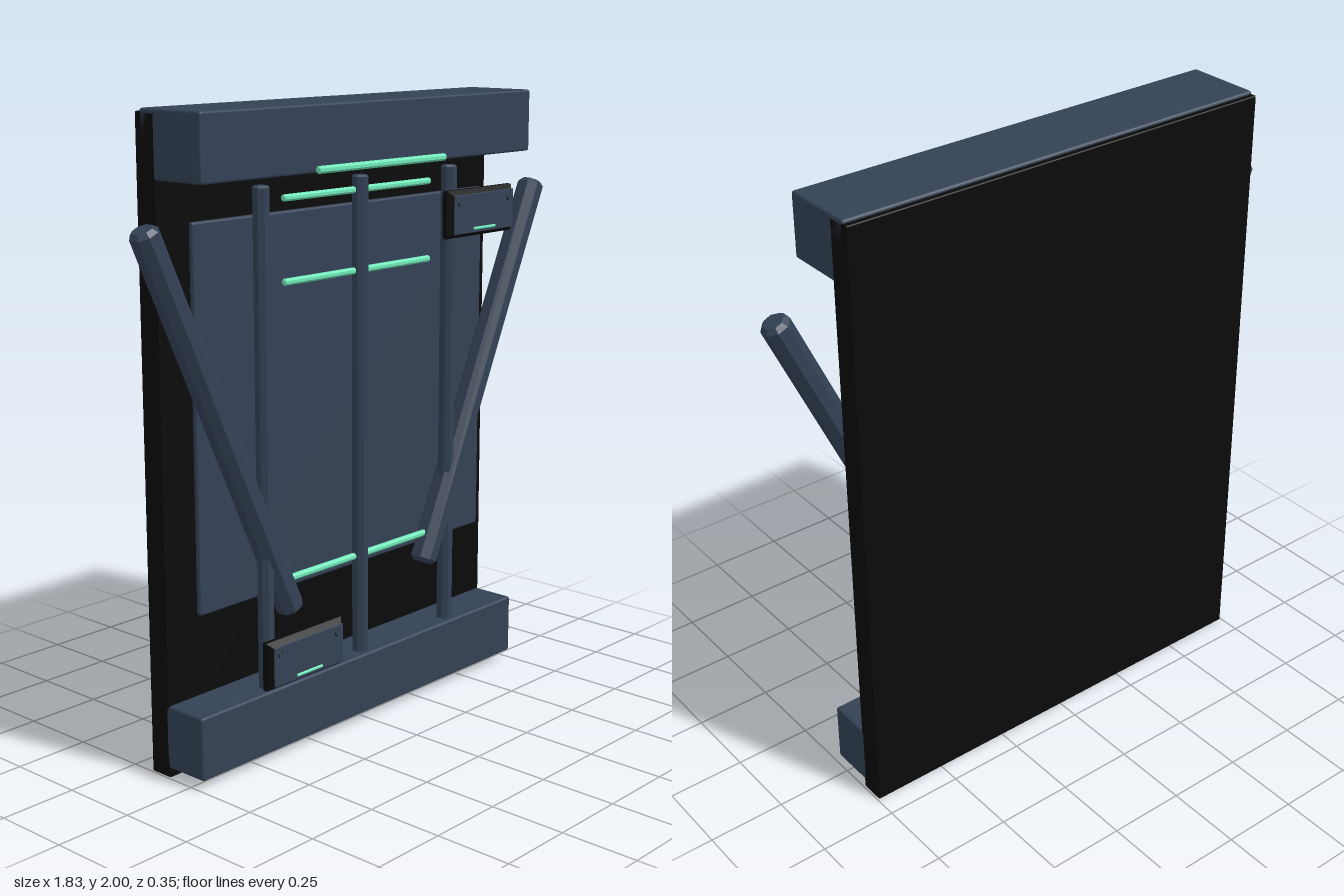
import * as THREE from 'three';
import { RoundedBoxGeometry } from 'three/addons/geometries/RoundedBoxGeometry.js';

export function createModel() {
  const model = new THREE.Group();
  model.name = 'framedGate';
  const mat = (name, color, flatShading = false) => {
    const m = new THREE.MeshStandardMaterial({ color, flatShading });
    m.name = name;
    return m;
  };
  const slate = mat('slateMetal', 0x334155);
  const black = mat('blackBacking', 0x0a0a0a);
  const mint = mat('mintLight', 0x6ee7b7);

  const add = (parent, name, geometry, material, x, y, z) => {
    const mesh = new THREE.Mesh(geometry, material);
    mesh.name = name;
    mesh.position.set(x, y, z);
    parent.add(mesh);
    return mesh;
  };
  // Box given by its limits, with softened edges
  const block = (name, material, w, y0, y1, z0, z1, r = 0.008) =>
    add(model, name, new RoundedBoxGeometry(w, y1 - y0, z1 - z0, 2, r), material,
      0, (y0 + y1) / 2, (z0 + z1) / 2);
  // Upright bar with bevelled ends, as a lathe
  const bar = (r, length, bevel, sides) => {
    const h = length / 2;
    const profile = [[0, -h], [r - bevel, -h], [r, -h + bevel], [r, h - bevel], [r - bevel, h], [0, h]];
    const g = new THREE.LatheGeometry(profile.map(p => new THREE.Vector2(...p)), sides);
    g.rotateY(Math.PI / sides);
    const flat = g.toNonIndexed();
    flat.computeVertexNormals();
    return flat;
  };
  // Horizontal glowing bar
  const lightBar = (parent, name, x0, x1, y, z, r) => {
    const m = add(parent, name, bar(r, x1 - x0, r * 0.3, 8), mint, (x0 + x1) / 2, y, z);
    m.rotation.z = Math.PI / 2;
  };

  // Backing, raised panel and the two cross beams
  block('backing', black, 1.49, 0, 1.99, -0.175, -0.095, 0.004);
  block('panel', slate, 1.32, 0.505, 1.68, -0.058, -0.038);
  block('topBeam', slate, 1.49, 1.8, 2, -0.157, 0.092);
  block('bottomBeam', slate, 1.49, 0.03, 0.23, -0.11, 0.05);

  // Three upright rods
  for (const x of [-0.43, 0, 0.43])
    add(model, 'uprightRod', bar(0.027, 1.57, 0.006, 8), slate, x, 0.985, 0.006);

  // Mirrored leaning struts
  for (const s of [-1, 1]) {
    const top = new THREE.Vector2(0.883, 1.685), low = new THREE.Vector2(0.317, 0.45);
    const strut = add(model, s < 0 ? 'rightStrut' : 'leftStrut',
      bar(0.045, top.distanceTo(low), 0.014, 8), slate,
      s * (top.x + low.x) / 2, (top.y + low.y) / 2, 0.002);
    strut.rotation.z = -s * Math.atan2(top.x - low.x, top.y - low.y);
  }

  // Light bars between the rods and under the top beam
  for (const y of [1.725, 1.475, 0.552])
    for (const s of [-1, 1])
      lightBar(model, 'crossLight', s < 0 ? -0.335 : 0.012, s < 0 ? -0.012 : 0.335, y, 0.002, 0.011);
  lightBar(model, 'beamLight', -0.29, 0.29, 1.81, 0.102, 0.012);

  // Chamfered tags hanging in front of the rods
  for (const [x, y] of [[-0.41, 0.367], [0.41, 1.633]]) {
    const tag = new THREE.Group();
    tag.name = 'tag';
    tag.position.set(x, y, 0);
    model.add(tag);
    const w = 0.145, h = 0.057;
    const shape = new THREE.Shape([[-w, -h], [w, -h], [w, h], [-w, h]].map(p => new THREE.Vector2(...p)));
    const body = new THREE.ExtrudeGeometry(shape, {
      depth: 0.014, bevelEnabled: true, bevelThickness: 0.018, bevelSize: 0.018, bevelSegments: 1,
    });
    add(tag, 'tagBody', body, black, 0, 0, 0.134);
    add(tag, 'tagFace', new RoundedBoxGeometry(0.298, 0.124, 0.005, 2, 0.002), slate, 0, 0, 0.1675);
    for (const s of [-1, 1]) {
      add(tag, 'screwRim', new THREE.TorusGeometry(0.009, 0.0025, 6, 16), black, s * 0.124, 0.037, 0.169);
      const screw = add(tag, 'screw', new THREE.CylinderGeometry(0.008, 0.009, 0.005, 16), slate,
        s * 0.124, 0.037, 0.171);
      screw.rotation.x = Math.PI / 2;
    }
    lightBar(tag, 'tagLight', -0.055, 0.055, -0.049, 0.17, 0.005);
  }
  return model;
}
